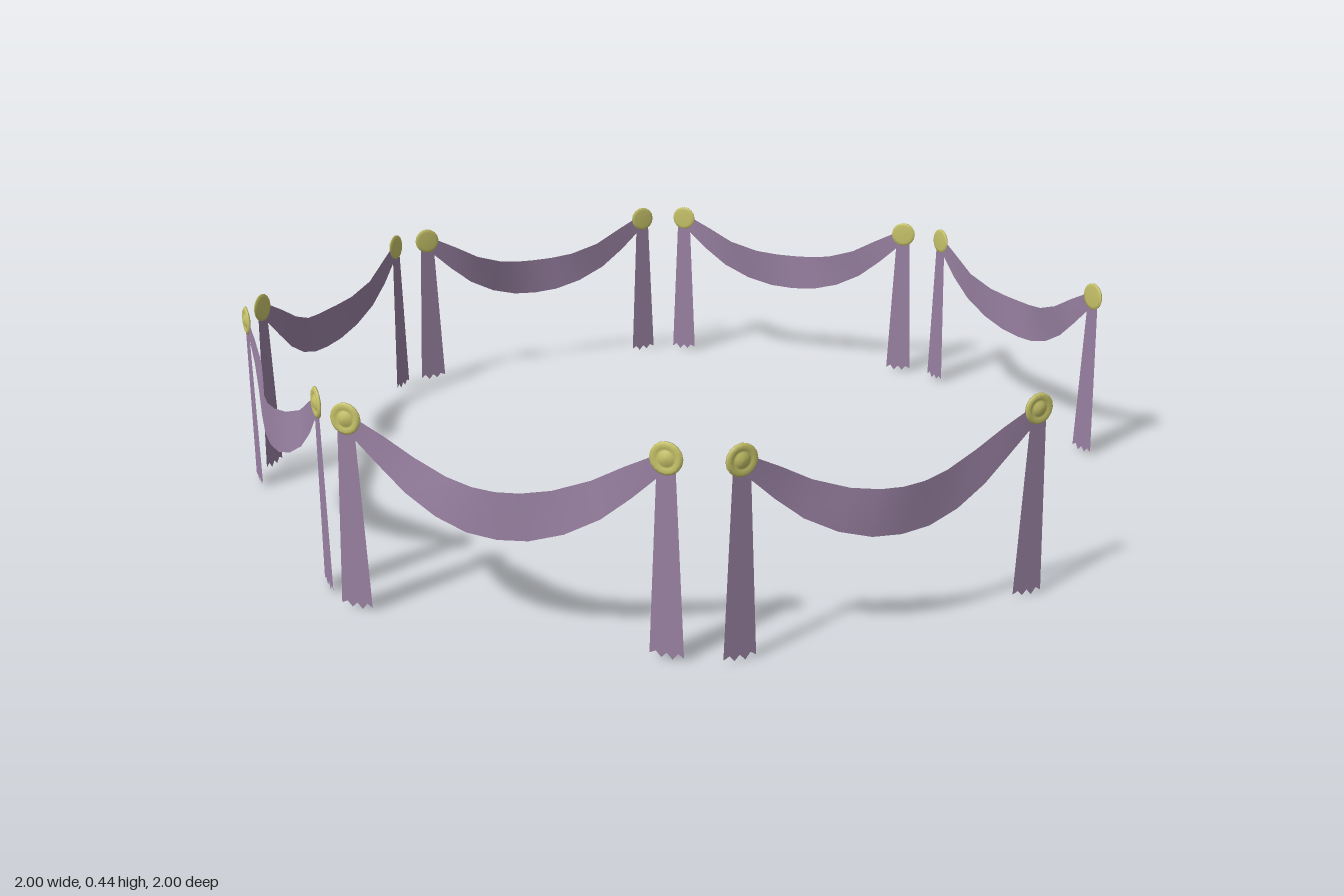
import * as THREE from 'three';

const cloth = new THREE.MeshStandardMaterial({ color: 0x9a82a3, side: THREE.DoubleSide });
const gold = new THREE.MeshStandardMaterial({ color: 0xc8c46a });

// Hanging ribbon: half profile as [x, y, z] pairs (top edge, bottom edge), mirrored about x = 0
function swagGeometry() {
  const half = [
    [[0, 0.309, 0.032], [0, 0.211, 0.032]],
    [[0.05, 0.311, 0.028], [0.065, 0.216, 0.029]],
    [[0.11, 0.32, 0.016], [0.135, 0.236, 0.02]],
    [[0.185, 0.345, 0.002], [0.205, 0.272, 0.009]],
    [[0.25, 0.38, 0], [0.265, 0.32, 0.002]],
    [[0.315, 0.412, 0], [0.325, 0.375, 0]],
  ];
  const mirror = half.slice(1).reverse().map(s => s.map(([x, y, z]) => [-x, y, z]));
  const sections = [...mirror, ...half];
  const index = [];
  for (let i = 0; i < sections.length - 1; i++) {
    const a = i * 2;
    index.push(a, a + 1, a + 2, a + 2, a + 1, a + 3);
  }
  const g = new THREE.BufferGeometry();
  g.setAttribute('position', new THREE.Float32BufferAttribute(sections.flat(2), 3));
  g.setIndex(index);
  g.computeVertexNormals();
  return g;
}

// Flat flared tail with a ragged hem
function tailGeometry() {
  const hem = [[-0.035, 0.008], [-0.022, 0.014], [-0.011, 0.002], [0, 0.013], [0.012, 0], [0.023, 0.014], [0.035, 0.006]];
  const points = [...hem, [0.018, 0.405], [-0.018, 0.405]];
  return new THREE.ShapeGeometry(new THREE.Shape(points.map(p => new THREE.Vector2(...p))));
}

// Ringed disc, flat at the back, facing +z
function rosetteGeometry() {
  const profile = [[0, -0.004], [0.025, -0.004], [0.033, -0.002], [0.033, 0.001], [0.027, 0.005],
    [0.02, 0.002], [0.015, 0.002], [0.011, 0.006], [0, 0.007]];
  const g = new THREE.LatheGeometry(profile.map(p => new THREE.Vector2(...p)), 16);
  return g.rotateX(Math.PI / 2);
}

export function createModel() {
  const model = new THREE.Group();
  model.name = 'drapeRing';
  const swag = swagGeometry(), tail = tailGeometry(), rosette = rosetteGeometry();

  // Seven drapes around an octagon, the front left bay left open: [angle step, centre x, centre z]
  const bays = [
    [0, -0.015, 0.965],
    [2, 0.966, -0.005],
    [3, 0.681, -0.689],
    [4, -0.005, -0.967],
    [5, -0.674, -0.697],
    [6, -0.967, -0.03],
    [7, -0.705, 0.662],
  ];
  for (const [step, x, z] of bays) {
    const drape = new THREE.Group();
    drape.name = 'drape';
    drape.position.set(x, 0, z);
    drape.rotation.y = step * Math.PI / 4;

    const add = (name, geometry, material, px = 0, py = 0) => {
      const mesh = new THREE.Mesh(geometry, material);
      mesh.name = name;
      mesh.position.set(px, py, 0);
      drape.add(mesh);
    };
    add('swag', swag, cloth);
    for (const side of [-1, 1]) {
      add('tail', tail, cloth, side * 0.333);
      add('rosette', rosette, gold, side * 0.333, 0.407);
    }
    model.add(drape);
  }
  return model;
}
